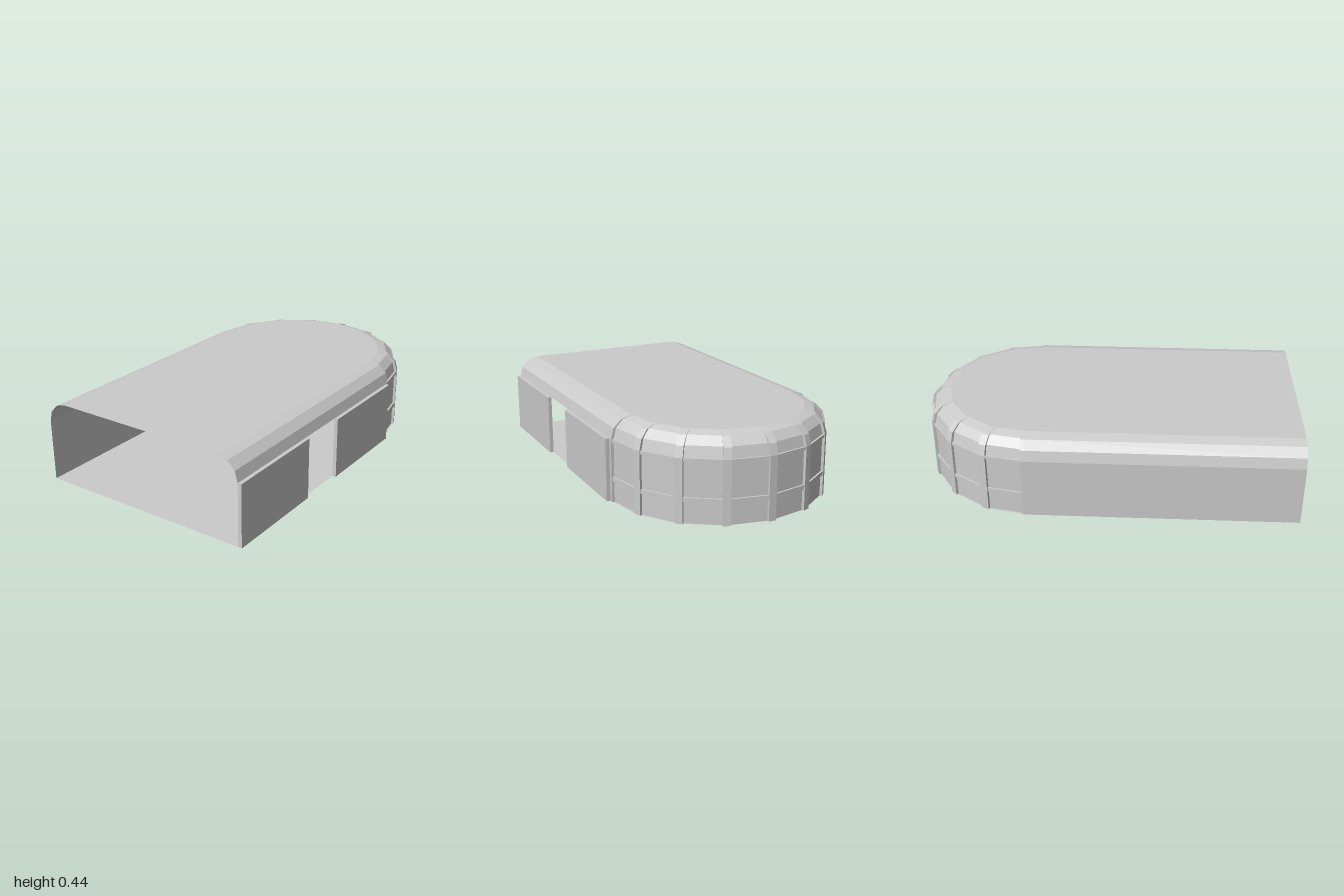
import * as THREE from 'three';

const R = 0.587, GLASS = 0.577, BEVEL = 0.113; // rib radius, pane radius, roof curve
const EAVE = 0.33, TOP = 0.442, CX = -0.01, CZ = -0.413, SEG = 8;

const mat = new THREE.MeshStandardMaterial({ color: 0xcccccc, flatShading: true, side: THREE.DoubleSide });

// Quarter curve from the eave (radius r) up to the flat roof
function curve(r, top = TOP, inner = R - BEVEL) {
  const pts = [];
  for (let i = 0; i <= 3; i++) {
    const a = (i / 3) * Math.PI / 2;
    pts.push(new THREE.Vector2(inner + (r - inner) * Math.cos(a), EAVE + (top - EAVE) * Math.sin(a)));
  }
  return pts;
}

// Open sheet: a cross-section in x/y carried from z0 to z1
function sheet(profile, z0, z1) {
  const pos = [], idx = [];
  profile.forEach((p, i) => {
    pos.push(p.x, p.y, z0, p.x, p.y, z1);
    if (i) {
      const k = 2 * i;
      idx.push(k - 2, k - 1, k, k, k - 1, k + 1);
    }
  });
  const g = new THREE.BufferGeometry();
  g.setAttribute('position', new THREE.Float32BufferAttribute(pos, 3));
  g.setIndex(idx);
  const flat = g.toNonIndexed();
  flat.computeVertexNormals();
  return flat;
}

export function createModel() {
  const model = new THREE.Group();
  model.name = 'apsidalHall';
  const add = (parent, name, geo) => {
    const m = new THREE.Mesh(geo, mat);
    m.name = name;
    parent.add(m);
    return m;
  };

  // Floor with a faceted rounded end
  const outline = [new THREE.Vector2(CX - R, 1), new THREE.Vector2(CX + R, 1)];
  for (let i = 0; i <= SEG; i++) {
    const a = (i / SEG) * Math.PI;
    outline.push(new THREE.Vector2(CX + R * Math.cos(a), CZ - GLASS * Math.sin(a)));
  }
  add(model, 'floor', new THREE.ShapeGeometry(new THREE.Shape(outline)).rotateX(Math.PI / 2));

  // Left wall and roof in one sheet, open at the front
  const right = curve(R);
  const left = right.map(p => new THREE.Vector2(-p.x, p.y));
  const section = [new THREE.Vector2(-R, 0), ...left, ...right.slice().reverse()];
  add(model, 'leftWallAndRoof', sheet(section, CZ, 1)).position.x = CX;

  // Right wall in two slabs with the doorway between them
  for (const [name, z0, z1] of [['rightWallRear', CZ, 0.155], ['rightWallFront', 0.43, 1]]) {
    add(model, name, new THREE.BoxGeometry(0.02, EAVE, z1 - z0)).position.set(0.587, EAVE / 2, (z0 + z1) / 2);
  }

  // Rounded end: panes and roof
  const apse = new THREE.Group();
  apse.name = 'apse';
  apse.position.set(CX, 0, CZ);
  model.add(apse);
  const shell = [new THREE.Vector2(GLASS, 0), ...curve(GLASS), new THREE.Vector2(0, TOP)];
  add(apse, 'panesAndRoof', new THREE.LatheGeometry(shell, SEG, Math.PI / 2, Math.PI));

  // Curved ribs at every corner, half width where they meet the hall
  const inside = curve(R - 0.02, TOP - 0.02).reverse();
  const ribShape = new THREE.Shape([
    new THREE.Vector2(R, 0), ...curve(R), ...inside, new THREE.Vector2(R - 0.02, 0)
  ]);
  for (let i = 0; i <= SEG; i++) {
    const end = i === 0 || i === SEG;
    const geo = new THREE.ExtrudeGeometry(ribShape, { depth: end ? 0.022 : 0.04, bevelEnabled: false });
    geo.translate(0, 0, i === SEG ? 0 : end ? -0.022 : -0.02);
    add(apse, 'rib', geo).rotation.y = (i / SEG) * Math.PI;
  }

  // Horizontal rails across each bay
  const half = Math.PI / SEG / 2;
  for (let i = 0; i < SEG; i++) {
    const bay = new THREE.Group();
    bay.name = 'bayRails';
    bay.rotation.y = (i + 0.5) * Math.PI / SEG;
    apse.add(bay);
    for (const [y, h] of [[0.123, 0.022], [0.322, 0.016]]) {
      add(bay, 'rail', new THREE.BoxGeometry(0.02, h, 2 * GLASS * Math.sin(half)))
        .position.set(GLASS * Math.cos(half), y, 0);
    }
  }
  return model;
}
